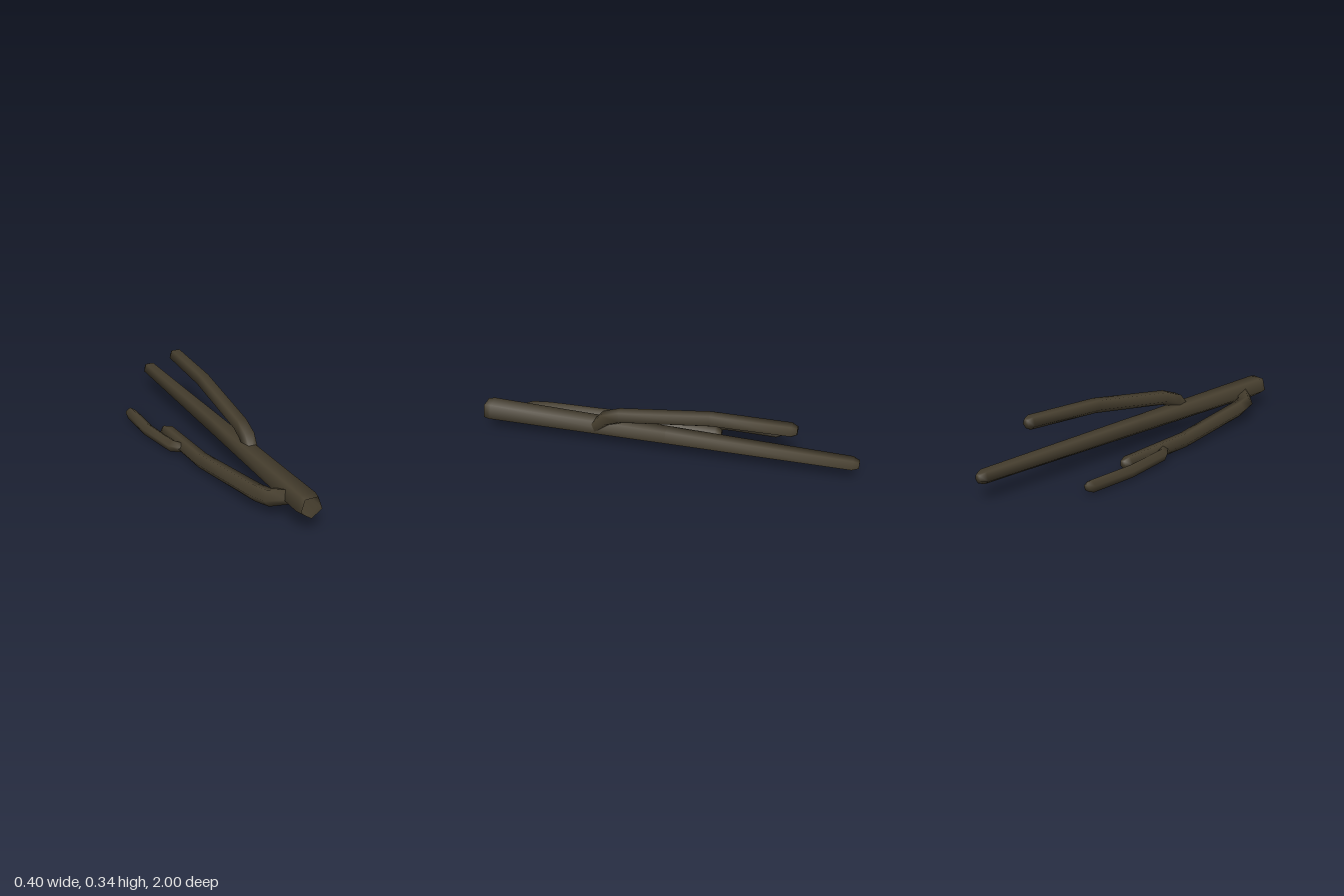
import * as THREE from 'three';

const SIDES = 5;

// Tapered five-sided limb through [x, y, z, radius] stations; open at the base, closed at the tip.
function limb(name, stations, phaseDeg, material) {
  const pts = stations.map(s => new THREE.Vector3(s[0], s[1], s[2]));
  const n = pts.length;
  const pos = [], idx = [];
  pts.forEach((p, i) => {
    const t = new THREE.Vector3();
    if (i > 0) t.add(p.clone().sub(pts[i - 1]).normalize());
    if (i < n - 1) t.add(pts[i + 1].clone().sub(p).normalize());
    t.normalize();
    // ring frame: v points mostly up, u mostly towards +x
    const u = new THREE.Vector3(0, 1, 0).cross(t).normalize().negate();
    const v = u.clone().cross(t).negate();
    if (v.y < 0) v.negate();
    for (let k = 0; k < SIDES; k++) {
      const a = THREE.MathUtils.degToRad(phaseDeg + k * 360 / SIDES);
      const q = p.clone()
        .addScaledVector(u, Math.cos(a) * stations[i][3])
        .addScaledVector(v, Math.sin(a) * stations[i][3]);
      pos.push(q.x, q.y, q.z);
    }
  });
  for (let i = 0; i < n - 1; i++) {
    for (let k = 0; k < SIDES; k++) {
      const a = i * SIDES + k, b = i * SIDES + (k + 1) % SIDES;
      const c = a + SIDES, d = b + SIDES;
      idx.push(a, c, b, b, c, d);
    }
  }
  // tip cap
  const last = pts[n - 1], base = (n - 1) * SIDES;
  pos.push(last.x, last.y, last.z);
  for (let k = 0; k < SIDES; k++) idx.push(base + k, n * SIDES, base + (k + 1) % SIDES);

  // make the winding face outwards (first quad against its ring centre)
  const P = i => new THREE.Vector3().fromArray(pos, i * 3);
  const nrm = P(idx[1]).sub(P(idx[0])).cross(P(idx[2]).sub(P(idx[0])));
  if (nrm.dot(P(0).add(P(1)).multiplyScalar(0.5).sub(pts[0])) < 0) idx.reverse();

  const g = new THREE.BufferGeometry();
  g.setAttribute('position', new THREE.Float32BufferAttribute(pos, 3));
  g.setIndex(idx);
  g.computeVertexNormals();
  const mesh = new THREE.Mesh(g, material);
  mesh.name = name;
  return mesh;
}

export function createModel() {
  const group = new THREE.Group();
  group.name = 'branch';
  const bark = new THREE.MeshStandardMaterial({ color: 0x463e2e, side: THREE.DoubleSide });
  bark.name = 'bark';

  // long straight stem with an open, slightly pinched butt end
  group.add(limb('mainStem', [
    [0.122, 0.127, 1.0, 0.058],
    [0.122, 0.127, 0.965, 0.065],
    [0.121, 0.129, 0, 0.052],
    [0.12, 0.13, -0.965, 0.04],
    [0.12, 0.13, -1.0, 0.024],
  ], -88, bark));

  // twig rising from the top of the stem
  group.add(limb('upperTwig', [
    [0.138, 0.13, 0.385, 0.036],
    [0.14, 0.195, 0.325, 0.043],
    [0.143, 0.228, 0.24, 0.042],
    [0.152, 0.3, -0.24, 0.042],
    [0.16, 0.314, -0.65, 0.04],
    [0.16, 0.315, -0.68, 0.024],
  ], 55, bark));

  // twig bending down and out to the side
  group.add(limb('sideTwig', [
    [0.1, 0.115, 0.835, 0.042],
    [0.025, 0.094, 0.775, 0.046],
    [0.0, 0.086, 0.69, 0.046],
    [-0.066, 0.054, 0.2, 0.044],
    [-0.076, 0.043, -0.22, 0.041],
    [-0.077, 0.043, -0.255, 0.024],
  ], 40, bark));

  // small shoot off the side twig
  group.add(limb('smallShoot', [
    [-0.085, 0.05, 0.02, 0.026],
    [-0.127, 0.048, -0.03, 0.033],
    [-0.167, 0.046, -0.29, 0.034],
    [-0.167, 0.045, -0.54, 0.034],
    [-0.167, 0.045, -0.57, 0.02],
  ], 92, bark));

  return group;
}
